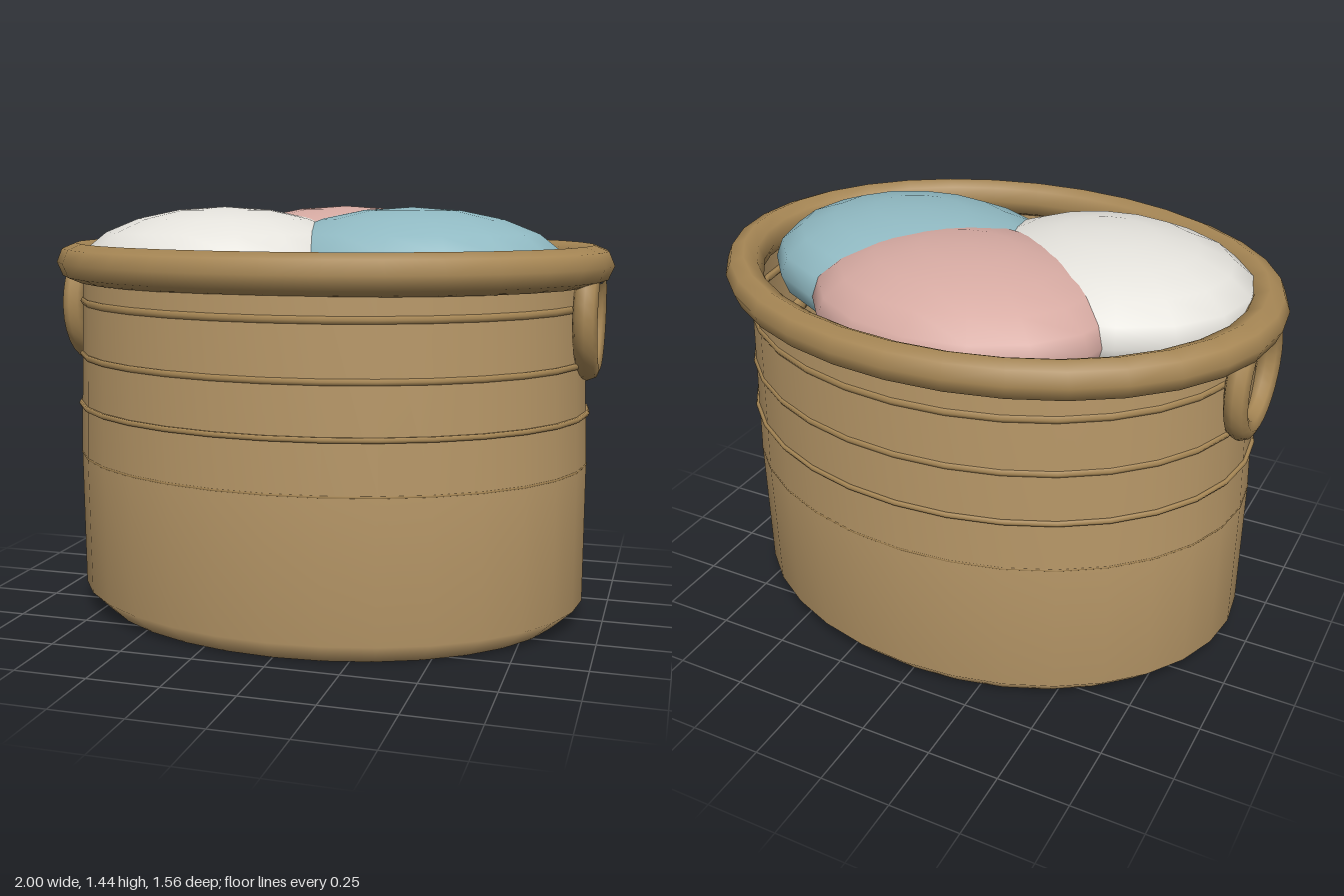
import * as THREE from 'three';
import { mergeVertices } from 'three/addons/utils/BufferGeometryUtils.js';

const SIDES = 32;
const wicker = new THREE.MeshStandardMaterial({ color: 0xb89868, side: THREE.DoubleSide });
const trim = new THREE.MeshStandardMaterial({ color: 0xa78755 });

// Squash round sections into ovals that get slightly rounder towards the top
function makeOval(geometry) {
  const p = geometry.attributes.position;
  for (let i = 0; i < p.count; i++) {
    const t = THREE.MathUtils.clamp(p.getY(i) / 1.25, 0, 1);
    p.setZ(i, p.getZ(i) * THREE.MathUtils.lerp(0.779, 0.811, t));
  }
  geometry.deleteAttribute('normal');
  geometry.deleteAttribute('uv');
  const welded = mergeVertices(geometry);
  welded.computeVertexNormals();
  return welded;
}

function addMesh(parent, name, geometry, material) {
  const mesh = new THREE.Mesh(geometry, material);
  mesh.name = name;
  parent.add(mesh);
  return mesh;
}

export function createModel() {
  const model = new THREE.Group();
  model.name = 'laundryBasket';

  // Open oval body with a chamfered foot
  const profile = [[0, 0], [0.85, 0], [0.926, 0.07], [0.926, 0.56], [0.9, 1.25]]
    .map(([r, y]) => new THREE.Vector2(r, y));
  addMesh(model, 'body', makeOval(new THREE.LatheGeometry(profile, SIDES)), wicker);

  // Thin woven bands
  const bands = [[1.11, 0.9, 0.014], [0.92, 0.91, 0.012], [0.74, 0.922, 0.01], [0.56, 0.922, 0.006]];
  for (const [y, radius, tube] of bands) {
    const ring = new THREE.TorusGeometry(radius, tube, 6, SIDES).rotateX(Math.PI / 2).translate(0, y, 0);
    addMesh(model, 'band', makeOval(ring), trim);
  }

  // Thick rolled rim
  const rim = new THREE.TorusGeometry(0.93, 0.07, 8, SIDES).rotateX(Math.PI / 2).scale(1, 0.965, 0.78);
  addMesh(model, 'rim', rim, trim).position.y = 1.247;

  // Loop handles hanging under the rim at both ends
  const arc = THREE.MathUtils.degToRad(260);
  for (const [side, name] of [[1, 'leftHandle'], [-1, 'rightHandle']]) {
    const loop = new THREE.TorusGeometry(0.184, 0.041, 8, 20, arc)
      .rotateZ(-Math.PI / 2 - arc / 2)
      .rotateY(Math.PI / 2);
    addMesh(model, name, loop, trim).position.set(side * 0.922, 1.08, 0);
  }

  // Three soft bundles filling the top: colour, centre, radii
  const bundles = [
    ['whiteBundle', 0xe4e2dc, [-0.36, 1.225, 0.1], [0.53, 0.215, 0.455]],
    ['blueBundle', 0x90b9c2, [0.3, 1.225, 0], [0.55, 0.215, 0.44]],
    ['pinkBundle', 0xd6aaa2, [0, 1.225, -0.22], [0.55, 0.215, 0.45]],
  ];
  for (const [name, color, centre, radii] of bundles) {
    const geometry = new THREE.SphereGeometry(1, 16, 10);
    const bundle = addMesh(model, name, geometry, new THREE.MeshStandardMaterial({ color }));
    bundle.position.set(...centre);
    bundle.scale.set(...radii);
  }
  return model;
}
